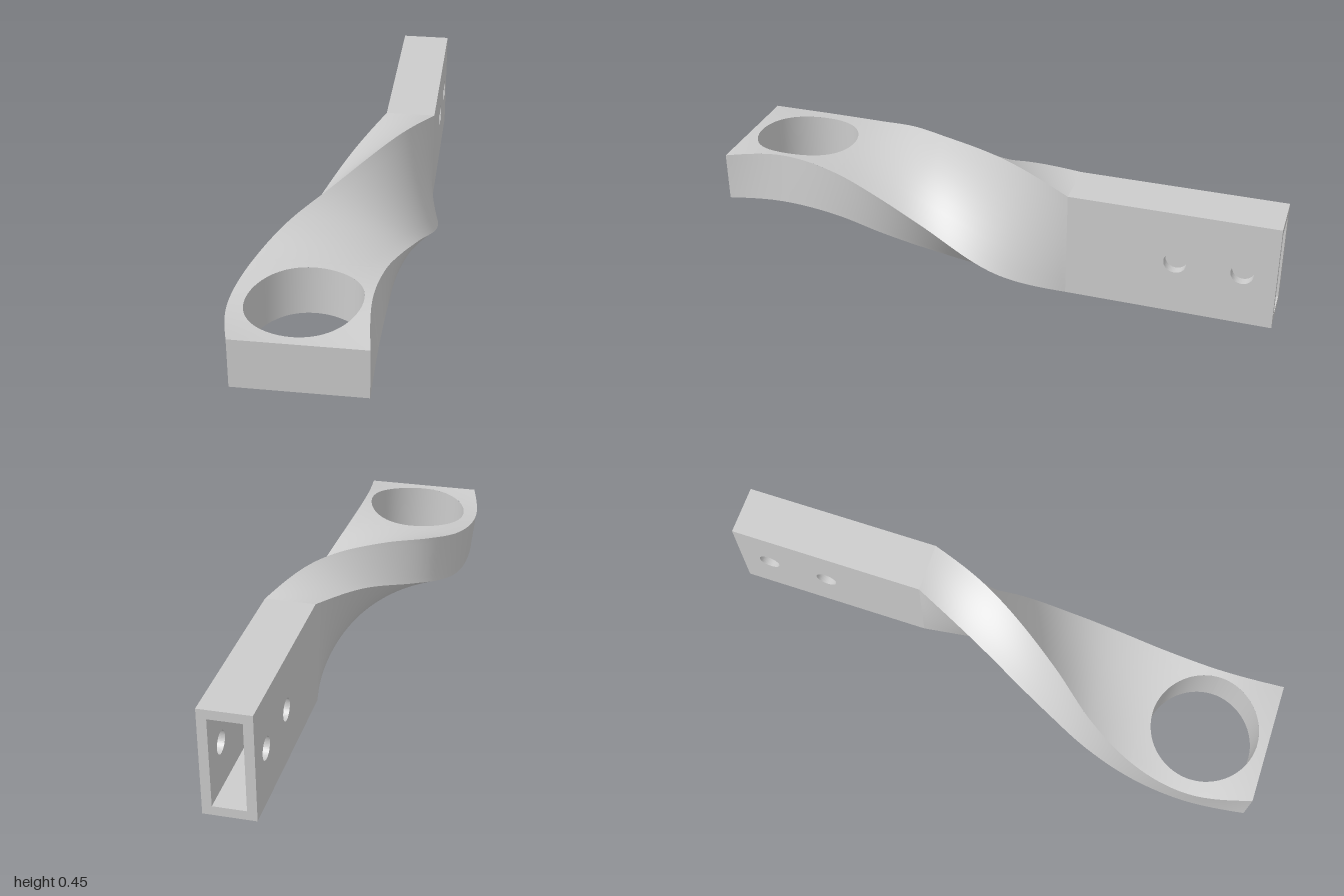
import * as THREE from 'three';

// Four long corner edges of the twisted arm, as [x, y] at each station in Z
const Z = [-0.3, -0.08, 0.24, 0.4, 0.57, 0.78, 1];
const A = [[0.25, 0.41], [0.15, 0.445], [-0.05, 0.4], [-0.17, 0.355], [-0.255, 0.31], [-0.295, 0.289], [-0.255, 0.31]];
const D = [[0.075, 0.41], [-0.02, 0.365], [-0.155, 0.245], [-0.215, 0.185], [-0.255, 0.135], [-0.272, 0.112], [-0.255, 0.135]];
const C = [[0.075, 0.035], [0.12, 0], [0.155, 0.05], [0.167, 0.09], [0.17, 0.135], [0.17, 0.156], [0.17, 0.135]];
const B = [[0.25, 0.035], [0.29, 0.08], [0.24, 0.205], [0.205, 0.262], [0.17, 0.31], [0.15, 0.335], [0.17, 0.31]];

// Smooth cubic through an edge's stations, evaluated at depth z
function edge(pts, z) {
  let i = 0;
  while (i < Z.length - 2 && z > Z[i + 1]) i++;
  const h = Z[i + 1] - Z[i], t = (z - Z[i]) / h;
  const value = (k) => {
    const slope = (j) => (pts[j + 1][k] - pts[j][k]) / (Z[j + 1] - Z[j]);
    const tangent = (j) => {
      if (j === 0) return 1.5 * slope(0) - 0.5 * tangent(1);
      if (j === Z.length - 1) return 1.5 * slope(j - 1) - 0.5 * tangent(j - 1);
      const h0 = Z[j] - Z[j - 1], h1 = Z[j + 1] - Z[j];
      return (slope(j - 1) * h1 + slope(j) * h0) / (h0 + h1);
    };
    const t2 = t * t, t3 = t2 * t;
    return (2 * t3 - 3 * t2 + 1) * pts[i][k] + (t3 - 2 * t2 + t) * h * tangent(i)
      + (3 * t2 - 2 * t3) * pts[i + 1][k] + (t3 - t2) * h * tangent(i + 1);
  };
  return new THREE.Vector3(value(0), value(1), z);
}

// Grid surface from fn(u, v); it faces du x dv
function grid(fn, nu, nv) {
  const pos = [], index = [];
  for (let j = 0; j <= nv; j++)
    for (let i = 0; i <= nu; i++) pos.push(...fn(i / nu, j / nv).toArray());
  for (let j = 0; j < nv; j++)
    for (let i = 0; i < nu; i++) {
      const a = j * (nu + 1) + i, d = a + nu + 1;
      index.push(a, a + 1, d + 1, a, d + 1, d);
    }
  const g = new THREE.BufferGeometry();
  g.setAttribute('position', new THREE.Float32BufferAttribute(pos, 3));
  g.setIndex(index);
  g.computeVertexNormals();
  return g;
}

export function createModel() {
  const root = new THREE.Group();
  const mat = new THREE.MeshStandardMaterial({ color: 0xcccccc });
  const add = (parent, name, geo) => {
    const m = new THREE.Mesh(geo, mat);
    m.name = name;
    parent.add(m);
    return m;
  };
  const { lerp } = THREE.MathUtils;

  // Twisted arm
  const arm = new THREE.Group();
  arm.name = 'twistedArm';
  root.add(arm);
  const z0 = -0.3, zEye = 0.57, z1 = 1;
  const strip = (p, q, end) => grid((u, v) => {
    const z = lerp(z0, end, v);
    return edge(p, z).lerp(edge(q, z), u);
  }, 8, 60);
  add(arm, 'outerSide', strip(A, D, z1));
  add(arm, 'innerSide', strip(C, B, z1));
  add(arm, 'armUnderside', strip(D, C, zEye));
  add(arm, 'armTop', strip(B, A, zEye));
  const cap = (a, b, c, d, z) => grid((u, v) =>
    edge(a, z).lerp(edge(b, z), u).lerp(edge(d, z).lerp(edge(c, z), u), v), 1, 1);
  add(arm, 'frontEnd', cap(D, C, B, A, z1));
  add(arm, 'rearEnd', cap(B, C, D, A, z0));

  // Eye: top and bottom faces around a vertical round hole
  const eye = new THREE.Group();
  eye.name = 'eye';
  root.add(eye);
  const cx = -0.06, cz = 0.78, r = 0.185;
  const faceY = (l, rgt, x, z) => {
    const p = edge(l, z), q = edge(rgt, z);
    return lerp(p.y, q.y, (x - p.x) / (q.x - p.x));
  };
  const ringFace = (l, rgt, flip) => grid((u, v) => {
    const s = ((flip ? 1 - u : u) * 4) % 4, side = Math.floor(s), f = s - side;
    const across = [1, 1 - f, 0, f][side];
    const z = [lerp(zEye, z1, f), z1, lerp(z1, zEye, f), zEye][side];
    const rim = edge(l, z).lerp(edge(rgt, z), across);
    const ang = Math.atan2(rim.z - cz, rim.x - cx);
    const x = lerp(cx + r * Math.cos(ang), rim.x, v);
    const zz = lerp(cz + r * Math.sin(ang), rim.z, v);
    return new THREE.Vector3(x, faceY(l, rgt, x, zz), zz);
  }, 96, 4);
  add(eye, 'eyeTop', ringFace(A, B, false));
  add(eye, 'eyeUnderside', ringFace(D, C, true));
  add(eye, 'eyeBore', grid((u, v) => {
    const a = u * Math.PI * 2, x = cx + r * Math.cos(a), z = cz + r * Math.sin(a);
    return new THREE.Vector3(x, lerp(faceY(D, C, x, z), faceY(A, B, x, z), v), z);
  }, 64, 1));

  // Hollow rectangular socket: two drilled side plates, top and bottom plates
  const socket = new THREE.Group();
  socket.name = 'socket';
  root.add(socket);
  const wall = 0.032, xa = 0.075, xb = 0.25, ya = 0.035, yb = 0.41;
  const plate = new THREE.Shape([[0.3, ya], [1, ya], [1, yb], [0.3, yb]].map(([x, y]) => new THREE.Vector2(x, y)));
  for (const d of [0.667, 0.888])
    plate.holes.push(new THREE.Path().absarc(d, 0.225, 0.038, 0, Math.PI * 2, true));
  const plateGeo = new THREE.ExtrudeGeometry(plate, { depth: wall, bevelEnabled: false, curveSegments: 24 });
  plateGeo.rotateY(Math.PI / 2);
  add(socket, 'rightPlate', plateGeo).position.x = xa;
  add(socket, 'leftPlate', plateGeo).position.x = xb - wall;
  const flat = new THREE.BoxGeometry(xb - xa - 2 * wall, wall, 0.7);
  add(socket, 'bottomPlate', flat).position.set((xa + xb) / 2, ya + wall / 2, -0.65);
  add(socket, 'topPlate', flat).position.set((xa + xb) / 2, yb - wall / 2, -0.65);

  return root;
}
